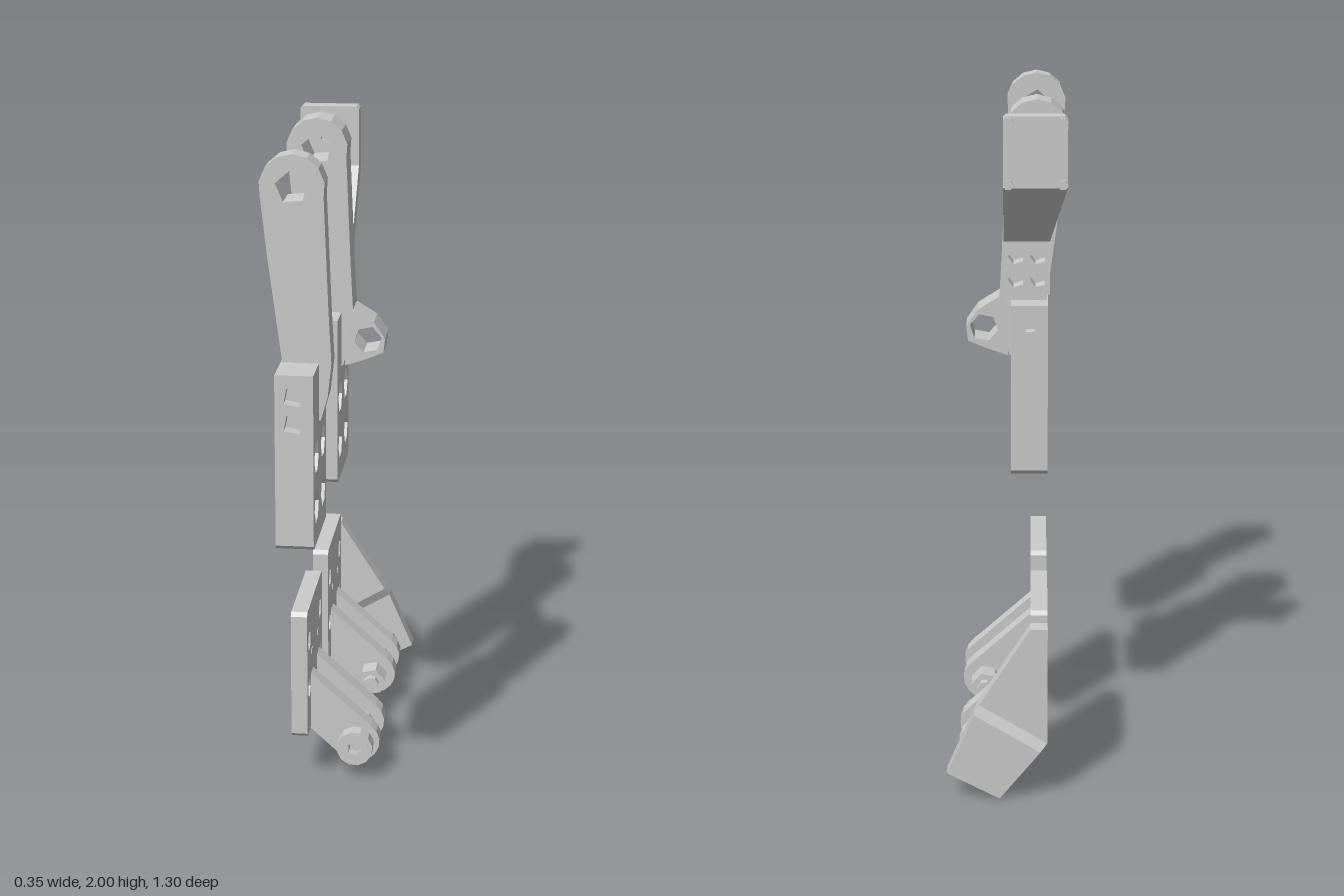
import * as THREE from 'three';

const material = new THREE.MeshStandardMaterial({ color: 0xcccccc, flatShading: true });

// Regular polygon as a list of points
function ngon(cx, cy, r, n = 5, turn = 0) {
  return Array.from({ length: n }, (_, i) => {
    const a = turn + (i / n) * Math.PI * 2;
    return [cx + r * Math.cos(a), cy + r * Math.sin(a)];
  });
}

// Rectangle with clipped corners
function clipped(x0, y0, x1, y1, c) {
  return [[x0 + c, y0], [x1 - c, y0], [x1, y0 + c], [x1, y1 - c],
    [x1 - c, y1], [x0 + c, y1], [x0, y1 - c], [x0, y0 + c]];
}

const rect = (x0, y0, x1, y1) => [[x0, y0], [x1, y0], [x1, y1], [x0, y1]];

// Extrusion whose outline always runs anticlockwise and whose holes run clockwise
function extrude(points, holes, depth) {
  const wind = (list, clockwise) => {
    const v = list.map(([x, y]) => new THREE.Vector2(x, y));
    return THREE.ShapeUtils.isClockWise(v) === clockwise ? v : v.reverse();
  };
  const shape = new THREE.Shape(wind(points, false));
  holes.forEach((h) => shape.holes.push(new THREE.Path(wind(h, true))));
  return new THREE.ExtrudeGeometry(shape, { depth, bevelEnabled: false });
}

function add(parent, name, geometry) {
  const mesh = new THREE.Mesh(geometry, material);
  mesh.name = name;
  parent.add(mesh);
  return mesh;
}

// Slab with its outline in (x, y), running along z
function slabZ(parent, name, points, holes, za, zb) {
  const geo = extrude(points, holes, Math.abs(zb - za));
  return add(parent, name, geo.translate(0, 0, Math.min(za, zb)));
}

// Slab with its outline in (z, y), running along x
function slabX(parent, name, points, holes, x0, x1) {
  const flip = (list) => list.map(([z, y]) => [-z, y]);
  const geo = extrude(flip(points), holes.map(flip), x1 - x0);
  return add(parent, name, geo.rotateY(Math.PI / 2).translate(x0, 0, 0));
}

// Move every vertex of a mesh by a rule
function reshape(mesh, rule) {
  const p = mesh.geometry.attributes.position;
  const v = new THREE.Vector3();
  for (let i = 0; i < p.count; i++) {
    rule(v.fromBufferAttribute(p, i));
    p.setXYZ(i, v.x, v.y, v.z);
  }
  mesh.geometry.computeVertexNormals();
}

// Narrow the holes of a slab around the given rim centres
function narrow(mesh, centres, r, k) {
  reshape(mesh, (v) => {
    const c = centres.find((q) => q.distanceTo(v) < r);
    if (c) v.lerp(c, k);
  });
}

// Mounting block with four cross holes and blind holes in its edges
function makeBlock(zc) {
  const g = new THREE.Group();
  g.name = 'mountingBlock';
  const x0 = -0.12, x1 = -0.01, y0 = 0.88, y1 = 1.4, h = 0.15, cap = 0.04, step = 1.2, c = 0.012;
  const outline = [[-h + c, y0], [h - c, y0], [h, y0 + c], [h, step], [h - cap, step],
    [h - cap, y1], [-h + cap, y1], [-h + cap, step], [-h, step], [-h, y0 + c]];
  const holes = [], rims = [];
  for (const z of [-0.075, 0.078]) {
    for (const y of [0.99, 1.14]) {
      holes.push(ngon(zc + z, y, 0.05, 6, y));
      rims.push(new THREE.Vector3(x0, y, zc + z));
    }
  }
  const body = slabX(g, 'blockBody', outline.map(([z, y]) => [zc + z, y]), holes, x0, x1);
  narrow(body, rims, 0.055, 0.3);
  slabZ(g, 'frontEdge', rect(x0, step, x1, y1),
    [1.335, 1.255].map((y) => ngon(-0.068, y, 0.032, 4, 0.6)), zc + h - cap, zc + h);
  slabZ(g, 'backEdge', rect(x0, step, x1, y1), [ngon(-0.068, 1.33, 0.018, 3, Math.PI / 2)], zc - h, zc - h + cap);
  return g;
}

// Arm with a rounded eye at the top
function makeArm(z0, z1) {
  const g = new THREE.Group();
  g.name = 'arm';
  const eye = [-0.085, 1.907];
  const pts = [[-0.115, 1.23], [-0.005, 1.23], [0.015, 1.3], [0.026, 1.4], [0.018, 1.55]];
  for (let i = 0; i <= 8; i++) {
    const a = -0.3 + (i / 8) * (Math.PI + 0.6);
    pts.push([eye[0] + 0.094 * Math.cos(a), eye[1] + 0.094 * Math.sin(a)]);
  }
  pts.push([-0.155, 1.7], [-0.115, 1.4]);
  const body = slabZ(g, 'armBody', pts, [ngon(...eye, 0.048, 5, 0.4)], z0, z1);
  narrow(body, [new THREE.Vector3(...eye, z0)], 0.055, 0.15);
  return g;
}

// Lever tab: bent strip that widens towards the top
function makeTab() {
  const g = new THREE.Group();
  g.name = 'bentTab';
  const lowHoles = [];
  for (const x of [-0.09, -0.025]) for (const y of [1.475, 1.545]) lowHoles.push(ngon(x, y, 0.025, 5));
  slabZ(g, 'tabFoot', rect(-0.125, 1.43, 0.012, 1.59), lowHoles, -0.23, -0.172);
  const slope = slabX(g, 'tabSlope', [[-0.172, 1.59], [-0.172, 1.615], [-0.355, 1.8], [-0.41, 1.78], [-0.23, 1.59]],
    [], -0.17, 0.012);
  reshape(slope, (v) => {
    if (v.x < -0.1) v.x = -0.125 - 0.048 * THREE.MathUtils.clamp((v.y - 1.59) / 0.19, 0, 1);
  });
  const pad = clipped(-0.173, 1.78, 0.012, 1.985, 0.008);
  slabZ(g, 'padFront', pad, [ngon(-0.08, 1.9, 0.035, 5)], -0.38, -0.355);
  slabZ(g, 'padBack', pad, [], -0.412, -0.38);
  for (const x of [-0.16, -0.003]) {
    for (const y of [1.79, 1.968]) slabZ(g, 'padStud', ngon(x, y, 0.015, 6), [], -0.425, -0.41);
  }
  return g;
}

// Hinge bracket: plate, two lugs, pin with head and nut; s sets the head's end
function makeBracket(zc, s) {
  const g = new THREE.Group();
  g.name = 'hingeBracket';
  const pin = [0.072, 0.105];
  const holes = [], rims = [];
  for (const z of [-0.135, 0.135]) {
    for (const y of [0.295, 0.45]) {
      holes.push(ngon(zc + z, y, 0.033, 5, y * 3));
      rims.push(new THREE.Vector3(-0.12, y, zc + z));
    }
  }
  for (const z of [-0.075, 0.077]) holes.push(ngon(zc + s * z, 0.395, 0.016, 3, -Math.PI / 2));
  const plate = slabX(g, 'bracketPlate', clipped(zc - 0.188, 0.15, zc + 0.188, 0.56, 0.012), holes, -0.12, -0.07);
  narrow(plate, rims, 0.04, 0.25);

  const lug = [[-0.08, 0.335], [-0.08, 0.15]];
  for (let i = 0; i <= 8; i++) {
    const a = -2.2 + (i / 8) * 3.1;
    lug.push([pin[0] + 0.072 * Math.cos(a), pin[1] + 0.069 * Math.sin(a)]);
  }
  for (const [a, b] of [[0.046, 0.1], [-0.111, -0.053]]) {
    slabZ(g, 'lug', lug, [], zc + s * a, zc + s * b);
  }
  const rod = (name, r, n, a, b, bore = []) => slabZ(g, name, ngon(...pin, r, n, 0.2), bore, zc + s * a, zc + s * b);
  rod('pinShaft', 0.038, 10, -0.12, 0.13);
  rod('pinHead', 0.056, 12, 0.114, 0.16, [ngon(...pin, 0.022, 5)]);
  rod('nut', 0.046, 6, -0.117, -0.187);
  rod('pinTip', 0.026, 8, -0.18, -0.212);
  return g;
}

// Side gusset: web, sloping fold and offset flange between pairs of edge points
function makeGusset() {
  const g = new THREE.Group();
  g.name = 'sideGusset';
  const edges = [[[-0.12, 0.525], [-0.07, 0.525]], [[-0.12, 0.17], [0.08, 0.29]],
    [[-0.1, 0.147], [0.095, 0.264]], [[0.02, 0], [0.175, 0.08]]];
  ['gussetWeb', 'gussetFold', 'gussetFlange'].forEach((name, i) => {
    const [a, b] = edges[i], [c, d] = edges[i + 1];
    const part = slabZ(g, name, [a, c, d, b], [], -0.635, -0.577);
    reshape(part, (v) => {
      v.z -= 0.015 * THREE.MathUtils.clamp((0.242 - v.y + 0.6 * v.x) / 0.035, 0, 1);
    });
  });
  return g;
}

export function createModel() {
  const model = new THREE.Group();
  model.name = 'hingeAndLeverAssembly';

  // Upper levers
  model.add(makeBlock(0.497), makeBlock(-0.105));
  model.add(makeArm(0.438, 0.515), makeArm(-0.173, -0.06));

  // Side eye on the rear arm
  slabZ(model, 'sideEye', [[0.0, 1.23], [0.06, 1.25], [0.12, 1.275], [0.125, 1.32], [0.09, 1.37], [0.026, 1.41], [0.0, 1.4]],
    [ngon(0.072, 1.315, 0.043, 6, 0.2)], -0.172, -0.061);
  model.add(makeTab());

  // Lower hinge brackets and the gusset beside the rear one
  model.add(makeBracket(0.151, 1), makeBracket(-0.39, -1), makeGusset());
  return model;
}
